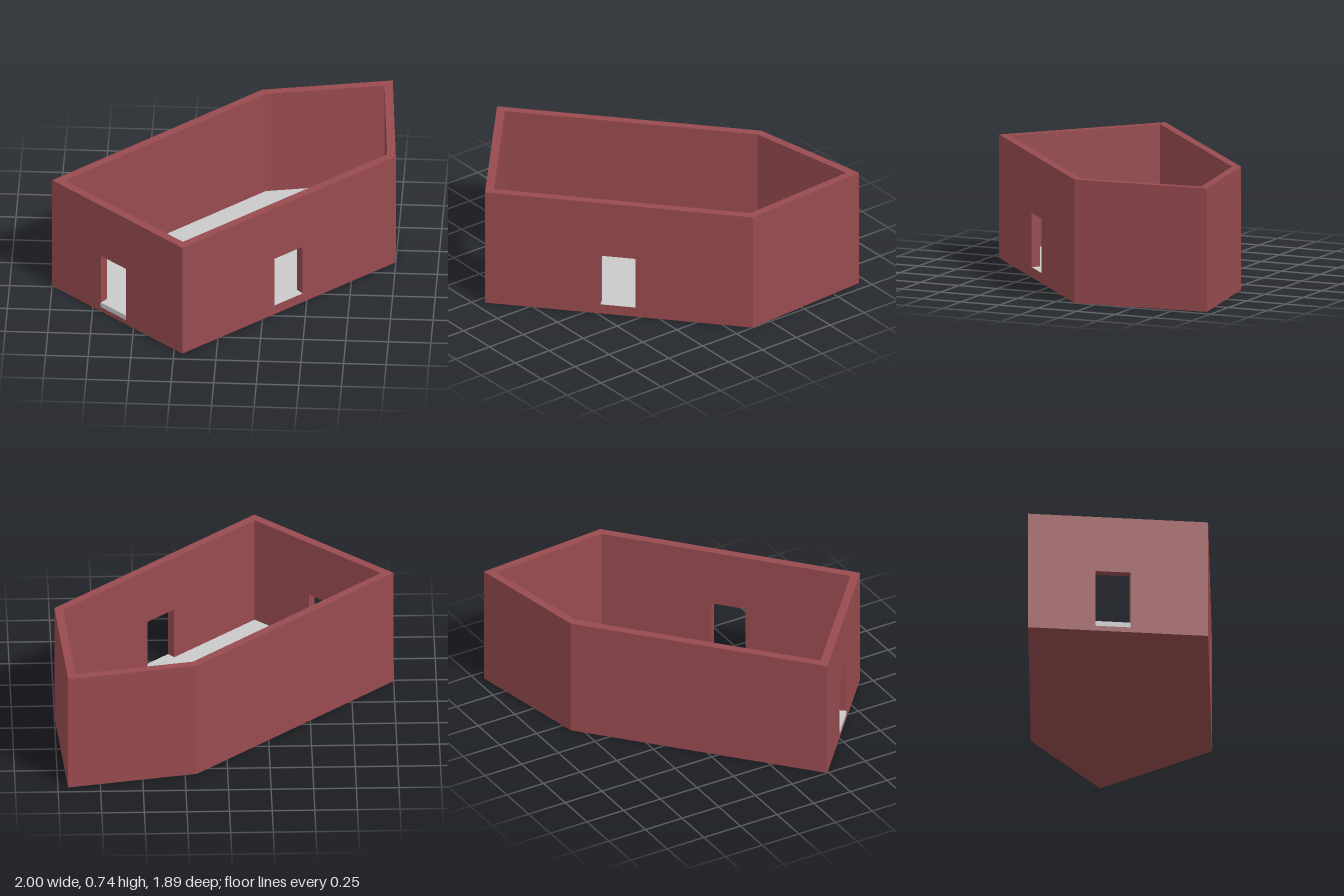
import * as THREE from 'three';

const HEIGHT = 0.735, THICK = 0.05, FLOOR = 0.06, DOOR_TOP = 0.385;

// Outer corners of the plan (x, z); each wall runs to the next corner.
// door: start and end of the opening as fractions of the wall.
const WALLS = [
  { at: [-1, 0.24], name: 'frontRightWall', door: [0.375, 0.569], lip: true },
  { at: [-0.2, 0.94], name: 'frontLeftWall', door: [0.431, 0.5625] },
  { at: [1, -0.12], name: 'leftWall' },
  { at: [0.94, -0.95], name: 'backWall' },
  { at: [0.18, -0.81], name: 'backRightWall' },
];

const rect = (C, x0, y0, x1, y1) =>
  new C([[x0, y0], [x1, y0], [x1, y1], [x0, y1]].map((p) => new THREE.Vector2(...p)));

export function createModel() {
  const group = new THREE.Group();
  const red = new THREE.MeshStandardMaterial({ color: 0x984b4f });
  red.name = 'brickRed';
  const grey = new THREE.MeshStandardMaterial({ color: 0xcacaca });
  grey.name = 'floorGrey';

  const add = (parent, name, geometry, material) => {
    const mesh = new THREE.Mesh(geometry, material);
    mesh.name = name;
    parent.add(mesh);
    return mesh;
  };

  const corners = WALLS.map((w) => new THREE.Vector2(...w.at));
  const n = corners.length;
  const corner = (i) => corners[(i + n) % n];
  const along = (i) => corner(i + 1).clone().sub(corner(i)).normalize();

  // How far the inner face steps back from each corner
  const mitre = corners.map((_, i) => {
    const interior = Math.acos(-along(i - 1).dot(along(i)));
    return THICK / Math.tan(interior / 2);
  });

  // Mitred walls with door openings
  WALLS.forEach((wall, i) => {
    const p = corner(i), dir = along(i), length = p.distanceTo(corner(i + 1));
    const part = new THREE.Group();
    part.name = wall.name;
    part.position.set(p.x, 0, p.y);
    part.rotation.y = -Math.atan2(dir.y, dir.x);
    group.add(part);

    const shape = rect(THREE.Shape, 0, 0, length, HEIGHT);
    const [d0, d1] = (wall.door || [0, 0]).map((f) => f * length);
    if (wall.door) shape.holes.push(rect(THREE.Path, d0, FLOOR, d1, DOOR_TOP));
    const geo = new THREE.ExtrudeGeometry(shape, { depth: THICK, bevelEnabled: false });
    geo.translate(0, 0, -THICK);
    const pos = geo.attributes.position;
    for (let k = 0; k < pos.count; k++) {
      if (pos.getZ(k) > -THICK / 2) continue;
      if (pos.getX(k) < 1e-4) pos.setX(k, mitre[i]);
      else if (pos.getX(k) > length - 1e-4) pos.setX(k, length - mitre[(i + 1) % n]);
    }
    geo.computeVertexNormals();
    add(part, 'wall', geo, red);

    // Grey threshold inside the opening
    if (wall.door) {
      const sill = add(part, 'doorSill', new THREE.BoxGeometry(d1 - d0, 0.002, THICK), grey);
      sill.position.set((d0 + d1) / 2, FLOOR + 0.001, -THICK / 2);
    }
    if (wall.lip) {
      const lip = add(part, 'sillLip', new THREE.BoxGeometry(d1 - d0, 0.03, 0.002), grey);
      lip.position.set((d0 + d1) / 2, FLOOR - 0.015, 0.001);
    }
  });

  // Floor within the walls: red base with a thin grey surface
  const plan = new THREE.Shape(corners.map((p, i) => {
    const d = along(i);
    return new THREE.Vector2(
      p.x + d.x * mitre[i] + d.y * THICK,
      -(p.y + d.y * mitre[i] - d.x * THICK));
  }));
  const slab = (depth) =>
    new THREE.ExtrudeGeometry(plan, { depth, bevelEnabled: false }).rotateX(-Math.PI / 2);
  add(group, 'base', slab(FLOOR - 0.005), red);
  add(group, 'floor', slab(0.005), grey).position.y = FLOOR - 0.005;

  return group;
}
